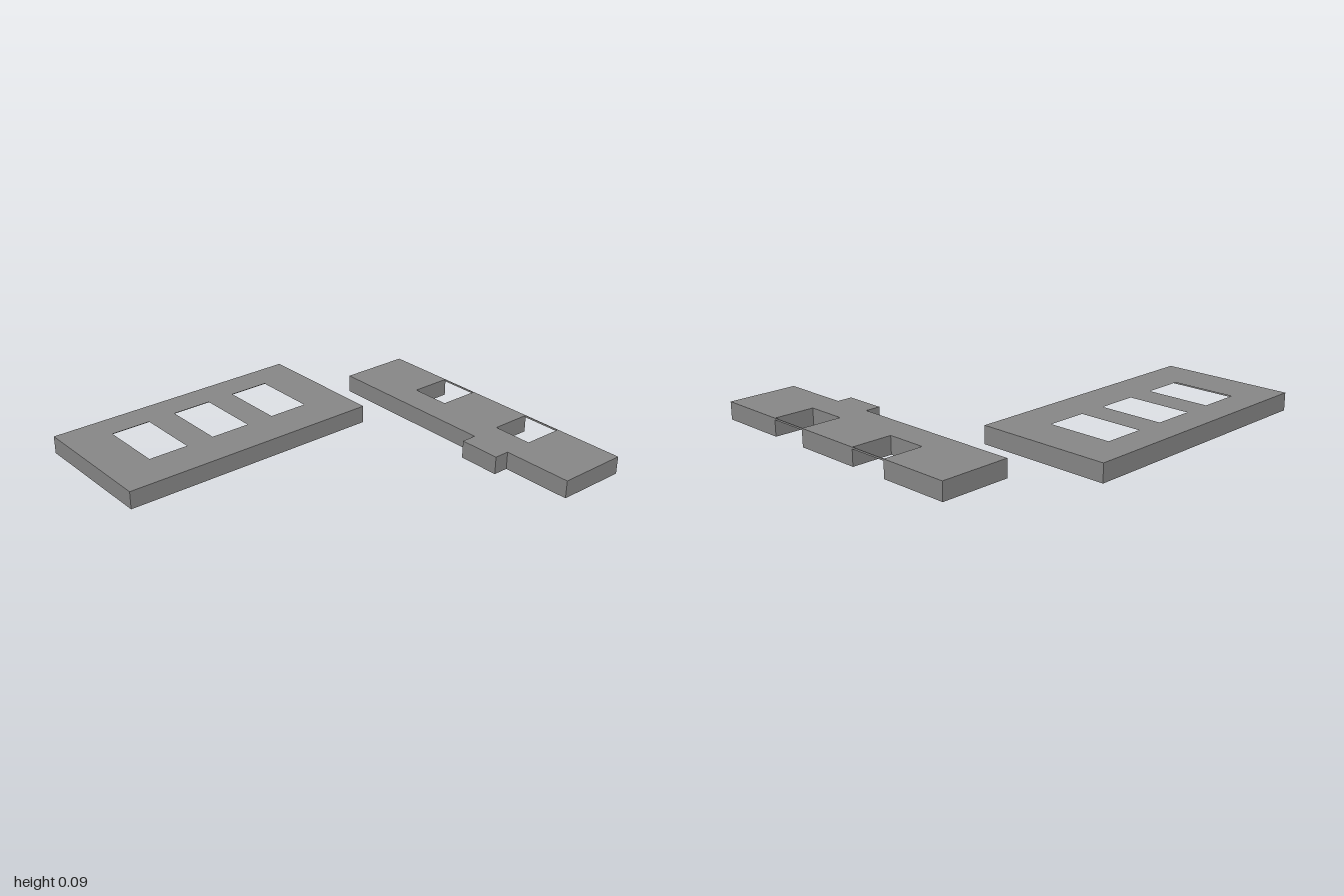
import * as THREE from 'three';

const material = new THREE.MeshStandardMaterial({ color: 0x868686, side: THREE.DoubleSide, flatShading: true });
const TILT = 0.132; // both panels are turned by the same angle
const H = 0.083; // height of both panels

function add(group, name, geometry) {
  const mesh = new THREE.Mesh(geometry, material);
  mesh.name = name;
  group.add(mesh);
}

// Corners of a rectangle in the panel's own x, z
const rect = (x0, z0, x1, z1) => [[x0, z0], [x1, z0], [x1, z1], [x0, z1]];

// Flat horizontal top sheet, with optional holes
function topSheet(points, holes = []) {
  const toVec = (p) => new THREE.Vector2(p[0], -p[1]);
  const shape = new THREE.Shape(points.map(toVec));
  shape.holes = holes.map((h) => new THREE.Path(h.map(toVec)));
  return new THREE.ShapeGeometry(shape).rotateX(-Math.PI / 2).translate(0, H, 0);
}

// Thin upright wall all the way round an outline
function skirt(points) {
  const pos = [];
  points.forEach(([ax, az], i) => {
    const [bx, bz] = points[(i + 1) % points.length];
    pos.push(ax, 0, az, ax, H, az, bx, H, bz, ax, 0, az, bx, H, bz, bx, 0, bz);
  });
  const g = new THREE.BufferGeometry();
  g.setAttribute('position', new THREE.Float32BufferAttribute(pos, 3));
  g.computeVertexNormals();
  return g;
}

// Wide panel: open underneath, three windows in the top
function widePanel() {
  const g = new THREE.Group();
  g.name = 'widePanel';
  const outline = rect(0, 0, 1.263, 0.641);
  const windows = [0.213, 0.541, 0.869].map((x) => rect(x, 0.144, x + 0.192, 0.452));
  add(g, 'wideTop', topSheet(outline, windows));
  add(g, 'wideSkirt', skirt(outline));
  g.position.set(-1, 0.011, -0.665);
  g.rotation.y = TILT;
  return g;
}

// Narrow panel: open underneath, two notches on one side and a tab on the other
function narrowPanel() {
  const g = new THREE.Group();
  g.name = 'narrowPanel';
  const W = 0.336, L = 1.386, OPEN = 0.075, STRIP = 0.004;
  const notchX = 0.139, tabX = -0.073;
  const notches = [[0.334, 0.526], [0.858, 1.05]];

  // Outline steps in around the notches and out around the tab
  const outline = [[0, 0], [W, 0]];
  for (const [a, b] of notches) outline.push([W, a], [notchX, a], [notchX, b], [W, b]);
  outline.push([W, L], [0, L], [0, 1.053], [tabX, 1.053], [tabX, 0.855], [0, 0.855]);
  add(g, 'narrowTop', topSheet(outline));
  add(g, 'narrowSkirt', skirt(outline));

  // Slim strip bridging the mouth of each notch
  for (const [a, b] of notches) {
    const strip = new THREE.BoxGeometry(STRIP, H - OPEN, b - a);
    add(g, 'notchStrip', strip.translate(W - STRIP / 2, (H + OPEN) / 2, (a + b) / 2));
  }

  g.position.set(0.485, 0, -0.541);
  g.rotation.y = TILT;
  return g;
}

export function createModel() {
  const model = new THREE.Group();
  model.name = 'panelPair';
  model.add(widePanel(), narrowPanel());
  return model;
}
